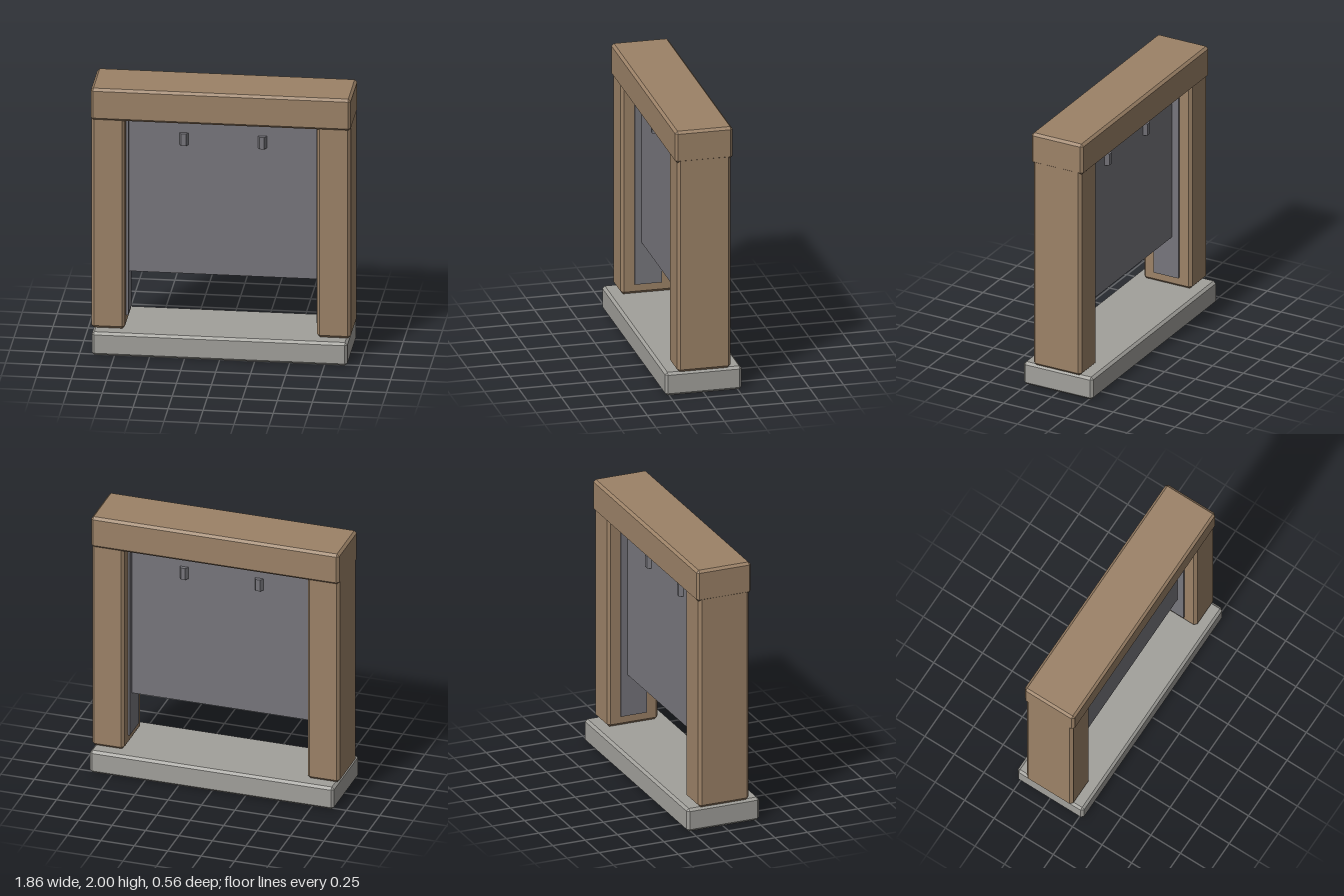
import * as THREE from 'three';
import { ConvexGeometry } from 'three/addons/geometries/ConvexGeometry.js';

// Box with every edge cut by a flat bevel c
function bevelBox(w, h, d, c) {
  const half = [w / 2, h / 2, d / 2];
  const points = [];
  for (const sx of [-1, 1]) for (const sy of [-1, 1]) for (const sz of [-1, 1]) {
    for (let axis = 0; axis < 3; axis++) {
      const p = half.map((v, i) => (i === axis ? v : v - c));
      points.push(new THREE.Vector3(p[0] * sx, p[1] * sy, p[2] * sz));
    }
  }
  return new ConvexGeometry(points);
}

export function createModel() {
  const model = new THREE.Group();
  const wood = new THREE.MeshStandardMaterial({ color: 0x9c8267 });
  const stone = new THREE.MeshStandardMaterial({ color: 0xa1a09b });
  const steel = new THREE.MeshStandardMaterial({ color: 0x77767c });
  wood.name = 'wood';
  stone.name = 'stone';
  steel.name = 'steel';
  steel.flatShading = true;

  const add = (name, geometry, material, x, y, z) => {
    const mesh = new THREE.Mesh(geometry, material);
    mesh.name = name;
    mesh.position.set(x, y, z);
    model.add(mesh);
    return mesh;
  };

  // Threshold slab and top beam
  add('threshold', bevelBox(1.825, 0.175, 0.56, 0.018), stone, 0, 0.0875, 0);
  add('lintel', bevelBox(1.855, 0.24, 0.42, 0.018), wood, 0, 1.88, 0);

  // Posts with the guide rails on their inner faces
  for (const s of [-1, 1]) {
    const side = s > 0 ? 'left' : 'right';
    add(side + 'Post', bevelBox(0.24, 1.625, 0.39, 0.02), wood, s * 0.806, 0.9875, 0);
    add(side + 'Rail', new THREE.BoxGeometry(0.03, 1.55, 0.2), steel, s * 0.686, 1.025, 0);
  }

  // Raised sliding panel
  add('panel', new THREE.BoxGeometry(1.35, 1.235, 0.1), steel, 0, 1.1825, 0);

  // Small faceted grips on both faces of the panel
  const grip = new THREE.CylinderGeometry(0.033, 0.033, 0.09, 6);
  grip.rotateY(Math.PI / 6);
  for (const x of [-0.28, 0.28]) {
    for (const z of [-0.05, 0.05]) add('grip', grip, steel, x, 1.59, z);
  }
  return model;
}
